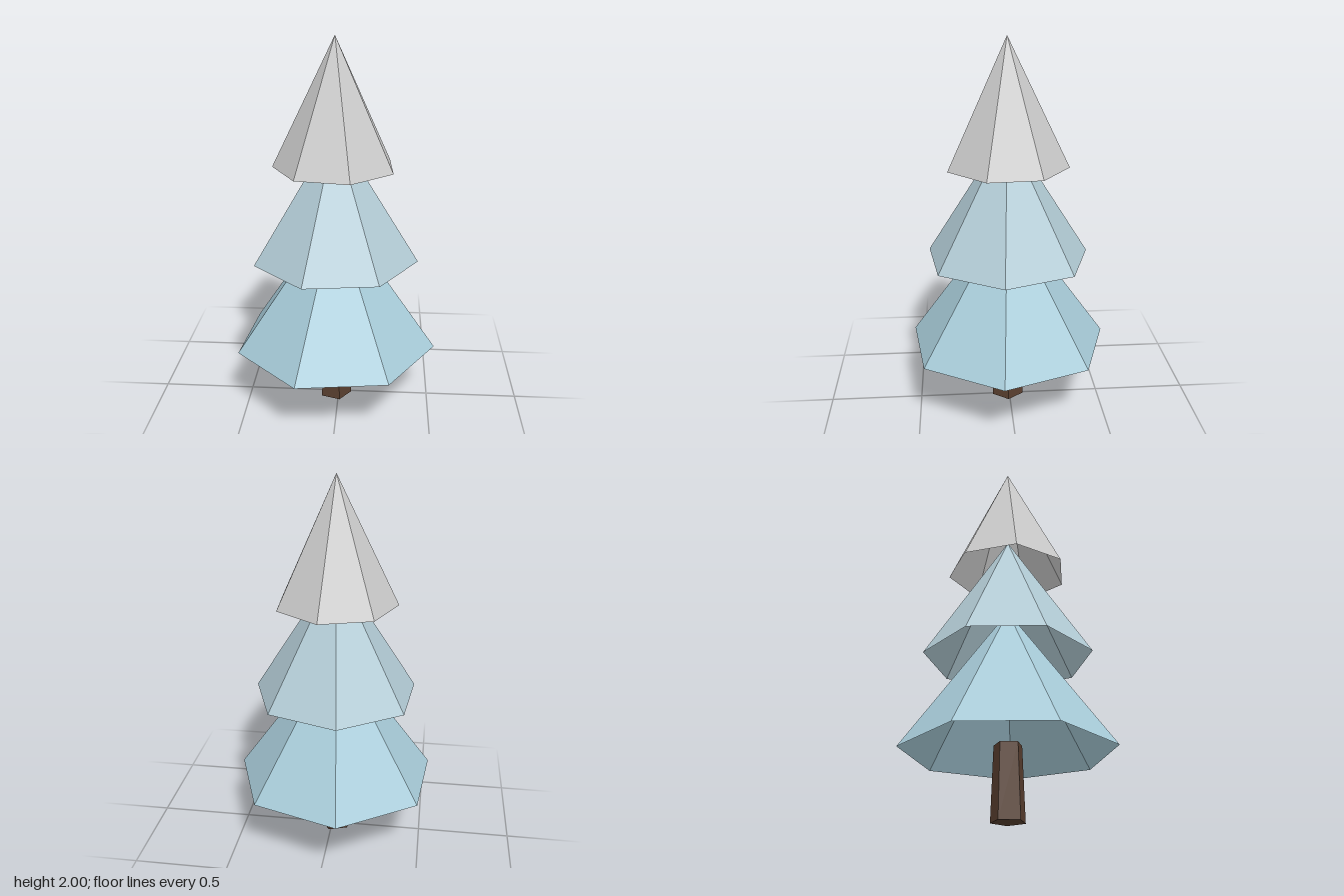
import * as THREE from 'three';

// Shared axis of trunk and foliage
const AXIS_X = -0.019;
const AXIS_Z = 0.009;

function makeMaterial(color, side = THREE.FrontSide) {
  return new THREE.MeshStandardMaterial({ color, flatShading: true, side });
}

export function createModel() {
  const tree = new THREE.Group();
  tree.name = 'pineTree';

  // Tapered five-sided trunk with one corner towards +x
  const trunkHeight = 0.38;
  const trunk = new THREE.Mesh(
    new THREE.CylinderGeometry(0.075, 0.09, trunkHeight, 5, 1, false, Math.PI / 2),
    makeMaterial(0x5a4030)
  );
  trunk.name = 'trunk';
  trunk.position.set(AXIS_X, trunkHeight / 2, AXIS_Z);
  tree.add(trunk);

  // Hollow seven-sided foliage cones, open underneath
  const tiers = [
    { name: 'lowerFoliage', radius: 0.547, base: 0.34, tip: 1.11, turn: -0.317, color: 0xa8ccd9 },
    { name: 'middleFoliage', radius: 0.442, base: 0.84, tip: 1.54, turn: -0.317, color: 0xb3ccd6 },
    { name: 'upperFoliage', radius: 0.323, base: 1.34, tip: 2.0, turn: 0.292, color: 0xcccccc },
  ];
  for (const { name, radius, base, tip, turn, color } of tiers) {
    const cone = new THREE.Mesh(
      new THREE.ConeGeometry(radius, tip - base, 7, 1, true, turn),
      makeMaterial(color, THREE.DoubleSide)
    );
    cone.name = name;
    cone.position.set(AXIS_X, (base + tip) / 2, AXIS_Z);
    tree.add(cone);
  }

  return tree;
}
